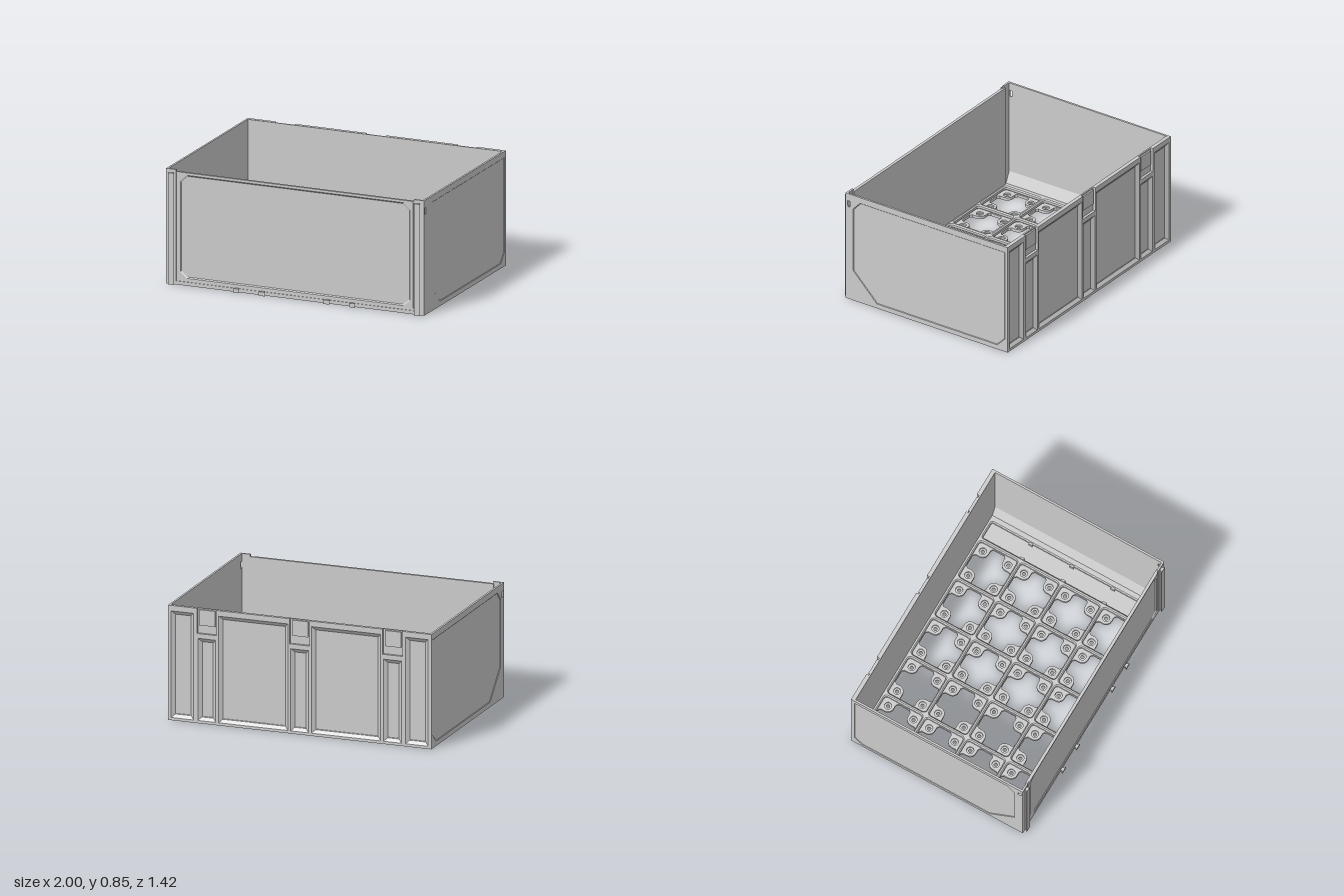
import * as THREE from 'three';
import { mergeGeometries } from 'three/addons/utils/BufferGeometryUtils.js';

const material = new THREE.MeshStandardMaterial({ color: 0xcccccc });

function add(parent, name, geometry, x = 0, y = 0, z = 0) {
  const mesh = new THREE.Mesh(geometry, material);
  mesh.name = name;
  mesh.position.set(x, y, z);
  parent.add(mesh);
  return mesh;
}

// Box given by its minimum and maximum corners
function block(parent, name, [x0, y0, z0], [x1, y1, z1]) {
  return add(parent, name, new THREE.BoxGeometry(x1 - x0, y1 - y0, z1 - z0),
    (x0 + x1) / 2, (y0 + y1) / 2, (z0 + z1) / 2);
}

// Counter-clockwise polygon from [x, y] pairs
function poly(pairs) {
  const pts = pairs.map(([x, y]) => new THREE.Vector2(x, y));
  return THREE.ShapeUtils.isClockWise(pts) ? pts.reverse() : pts;
}
const rect = (x0, y0, x1, y1) => poly([[x0, y0], [x1, y0], [x1, y1], [x0, y1]]);

function shapeWith(outer, holes) {
  const shape = new THREE.Shape(outer);
  shape.holes = holes.map(h => new THREE.Path(h));
  return shape;
}

// Rectangle with rounded corners
function roundedRect(cx, cy, w, h, r) {
  const pts = [];
  [[1, 1], [-1, 1], [-1, -1], [1, -1]].forEach(([sx, sy], q) => {
    for (let i = 0; i <= 4; i++) {
      const a = (q + i / 4) * Math.PI / 2;
      pts.push([cx + sx * (w / 2 - r) + r * Math.cos(a), cy + sy * (h / 2 - r) + r * Math.sin(a)]);
    }
  });
  return poly(pts);
}

// Band of flat quads joining two matching outlines
function band(a, za, b, zb) {
  const p = [];
  a.forEach((_, i) => {
    const j = (i + 1) % a.length;
    p.push(a[i].x, a[i].y, za, a[j].x, a[j].y, za, b[i].x, b[i].y, zb);
    p.push(a[j].x, a[j].y, za, b[j].x, b[j].y, zb, b[i].x, b[i].y, zb);
  });
  const g = new THREE.BufferGeometry();
  g.setAttribute('position', new THREE.Float32BufferAttribute(p, 3));
  g.computeVertexNormals();
  return g;
}

function flat(shape, z) {
  const g = new THREE.ShapeGeometry(shape).toNonIndexed().translate(0, 0, z);
  g.deleteAttribute('uv');
  return g;
}

function inset(pts, d) {
  const box = new THREE.Box2().setFromPoints(pts);
  const c = box.getCenter(new THREE.Vector2()), s = box.getSize(new THREE.Vector2());
  return pts.map(p => new THREE.Vector2(
    c.x + (p.x - c.x) * (1 - 2 * d / s.x), c.y + (p.y - c.y) * (1 - 2 * d / s.y)));
}

// Plate facing +z with bevelled pockets and optional through holes
function pocketPlate(outer, pockets, depth, bevel, through = []) {
  const parts = [flat(shapeWith(outer, [...pockets, ...through]), 0), band(outer, -depth, outer, 0)];
  for (const p of pockets) {
    const inner = inset(p, bevel);
    parts.push(band(p, 0, inner, -depth), flat(new THREE.Shape(inner), -depth));
  }
  return mergeGeometries(parts);
}

// Horizontal slab: shape in (x, -z), rising from y
function slab(parent, name, shape, y, height, bevel = 0) {
  const g = new THREE.ExtrudeGeometry(shape, {
    depth: height - 2 * bevel, bevelEnabled: bevel > 0, bevelSize: bevel,
    bevelThickness: bevel, bevelSegments: 1, curveSegments: 10,
  });
  g.rotateX(-Math.PI / 2);
  return add(parent, name, g, 0, y + bevel, 0);
}

// Cross-shaped cell opening that leaves a rounded pad in each corner
function crossOpening(cx, cy) {
  const h = 0.152, m = 0.104, w = 0.058, pts = [];
  const corner = [[h, 0.043], [h - 0.016, w], [m, w]];
  for (let i = 1; i < 5; i++) {
    const a = -Math.PI / 2 - i * Math.PI / 10;
    corner.push([m + (m - w) * Math.cos(a), m + (m - w) * Math.sin(a)]);
  }
  corner.push([w, m], [w, h - 0.016], [0.043, h]);
  for (let q = 0; q < 4; q++) {
    const c = Math.round(Math.cos(q * Math.PI / 2)), s = Math.round(Math.sin(q * Math.PI / 2));
    corner.forEach(([x, y]) => pts.push([cx + x * c - y * s, cy + x * s + y * c]));
  }
  return poly(pts);
}

// Dovetail key on the front face
function dovetail(parent, name, x, height) {
  slab(parent, name, new THREE.Shape(poly([[x - 0.013, -0.685], [x - 0.013, -0.697],
    [x - 0.024, -0.71], [x + 0.024, -0.71], [x + 0.013, -0.697], [x + 0.013, -0.685]])), 0, height);
}

export function createModel() {
  const root = new THREE.Group();
  root.name = 'storageDrawer';
  const top = 0.845;

  // Floor: lower screw layer, magnet layer and bevelled cell grid
  const floor = new THREE.Group();
  floor.name = 'floor';
  root.add(floor);
  const crosses = [], cells = [], screws = [], magnets = [];
  const circle = (x, y, r) => new THREE.Path().absarc(x, y, r, 0, Math.PI * 2).getPoints(10).slice(0, -1);
  for (let i = 0; i < 5; i++) for (let j = 0; j < 4; j++) {
    const x = -0.755 + 0.335 * i, y = 0.505 - 0.335 * j;
    crosses.push(crossOpening(x, y));
    cells.push(roundedRect(x, y, 0.324, 0.324, 0.03));
    for (const sx of [-1, 1]) for (const sy of [-1, 1]) {
      screws.push(circle(x + sx * 0.104, y + sy * 0.104, 0.012));
      magnets.push(circle(x + sx * 0.104, y + sy * 0.104, 0.026));
    }
  }
  cells.push(roundedRect(0.835, 0.0025, 0.15, 1.327, 0.02));
  const base = rect(-0.988, -0.685, 0.988, 0.695);
  slab(floor, 'screwLayer', shapeWith(base, [...crosses, ...screws]), 0, 0.01);
  slab(floor, 'magnetLayer', shapeWith(base, [...crosses, ...magnets]), 0.01, 0.012);
  slab(floor, 'cellGrid', shapeWith(rect(-0.975, -0.675, 0.975, 0.685), cells), 0.022, 0.033, 0.008);
  for (const z of [-0.338, -0.003, 0.332]) for (const [x0, x1] of [[0.76, 0.78], [0.89, 0.91]])
    block(floor, 'troughNub', [x0, 0.02, z - 0.015], [x1, 0.05, z + 0.015]);

  // Side walls with shallow panel, latch slot and inner foot slope
  for (const s of [1, -1]) {
    const wall = new THREE.Group();
    wall.name = s > 0 ? 'leftWall' : 'rightWall';
    wall.rotation.y = s * Math.PI / 2;
    root.add(wall);
    const local = pairs => poly(pairs.map(([z, y]) => [-s * z, y]));
    const outline = local([[-0.69, 0], [0.69, 0], [0.69, top], [-0.69, top]]);
    const panel = local([[-0.685, 0.1], [-0.62, 0.035], [0.42, 0.035], [0.625, 0.24],
      [0.625, 0.735], [0.565, 0.8], [-0.685, 0.8]]);
    const slot = local([[0.65, 0.738], [0.67, 0.738], [0.675, 0.745], [0.675, 0.787], [0.655, 0.787], [0.65, 0.78]]);
    add(wall, 'wallPanel', pocketPlate(outline, [panel], 0.004, 0.004, [slot]), 0, 0, 1);
    add(wall, 'wallCore', new THREE.ExtrudeGeometry(shapeWith(outline, [slot]),
      { depth: 0.011, bevelEnabled: false }), 0, 0, 0.985);
    const slope = new THREE.Shape(poly([[s * 0.987, 0.04], [s * 0.945, 0.04], [s * 0.945, 0.055], [s * 0.987, 0.14]]));
    add(root, 'footSlope', new THREE.ExtrudeGeometry(slope, { depth: 1.36, bevelEnabled: false }), 0, 0, -0.685);
  }

  // Front wall with framed panel, corner posts, sill and dovetail keys
  const front = new THREE.Group();
  front.name = 'frontWall';
  root.add(front);
  const octagon = poly([[-0.84, 0.055], [0.84, 0.055], [0.89, 0.095], [0.89, 0.765],
    [0.84, 0.812], [-0.84, 0.812], [-0.89, 0.765], [-0.89, 0.095]]);
  add(front, 'frontPanel', pocketPlate(roundedRect(0, 0.43, 1.83, 0.8, 0.02), [octagon], 0.006, 0.008), 0, 0, 0.69);
  block(front, 'frontCore', [-0.93, 0.01, 0.668], [0.93, 0.83, 0.684]);
  block(front, 'frontSill', [-0.925, 0, 0.67], [0.925, 0.026, 0.689]);
  for (const s of [-1, 1]) {
    block(front, 'cornerPost', [s > 0 ? 0.922 : -0.999, 0, 0.676], [s > 0 ? 0.999 : -0.922, top, 0.69]);
    dovetail(front, 'slideRail', s * 0.953, 0.82);
    for (const x of [0.25, 0.45]) dovetail(front, 'frontKey', s * x, 0.03);
  }

  // Back wall: ribbed plate with pockets and three open notches at the top
  const back = new THREE.Group();
  back.name = 'backWall';
  root.add(back);
  const edge = [[-1, 0], [1, 0], [1, top]];
  const pockets = [rect(0.805, 0.02, 0.975, 0.805), rect(-0.975, 0.02, -0.805, 0.805),
    rect(0.09, 0.02, 0.615, 0.805), rect(-0.615, 0.02, -0.09, 0.805)];
  for (const x of [0.705, 0, -0.705]) {
    edge.push([x + 0.075, top], [x + 0.075, 0.66], [x - 0.075, 0.66], [x - 0.075, top]);
    pockets.push(rect(x - 0.068, 0.02, x + 0.068, 0.625));
    block(back, 'notchClip', [x - 0.06, 0.72, -0.703], [x + 0.06, 0.835, -0.69]);
  }
  edge.push([-1, top]);
  const ribs = add(back, 'backRibs', pocketPlate(poly(edge), pockets, 0.02, 0.028), 0, 0, -0.71);
  ribs.rotation.y = Math.PI;
  block(back, 'backCore', [-0.999, 0.001, -0.691], [0.999, top - 0.001, -0.68]);

  return root;
}
